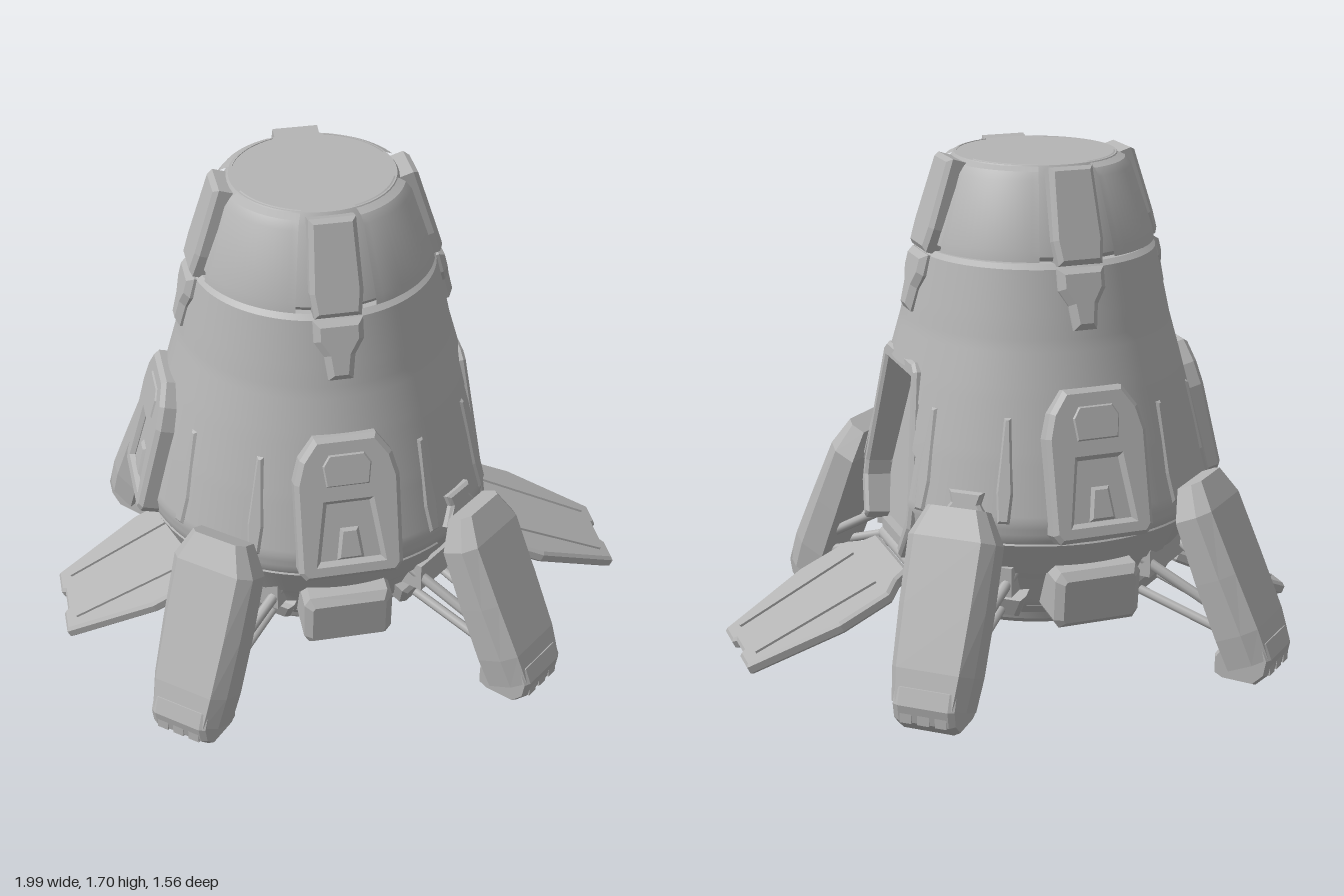
import * as THREE from 'three';
import { toCreasedNormals } from 'three/addons/utils/BufferGeometryUtils.js';

const hull = new THREE.MeshStandardMaterial({ color: 0xb4b4b4 });
hull.name = 'hullGrey';

function add(parent, name, geo) {
  const m = new THREE.Mesh(geo, hull);
  m.name = name;
  parent.add(m);
  return m;
}
const path = (pts) => pts.map(([x, y]) => new THREE.Vector2(x, y));
// Right-hand outline points, mirrored into a closed symmetric outline
const symmetric = (half) => path([...half, ...half.map(([x, y]) => [-x, y]).reverse()]);
const turned = (pts, segments, start, sweep) => toCreasedNormals(new THREE.LatheGeometry(path(pts), segments, start, sweep), 0.4);

// Bevelled plate lying on the hull: its foot sits at height y, its face at radius r, leaning inward by tilt
function plate(parent, name, half, { y, r, tilt, depth = 0.1, bevel = 0.015, hole }) {
  const shape = new THREE.Shape(symmetric(half));
  if (hole) shape.holes.push(new THREE.Path(symmetric(hole)));
  const geo = new THREE.ExtrudeGeometry(shape, {
    depth, bevelEnabled: bevel > 0, bevelSize: bevel, bevelThickness: bevel, bevelOffset: -bevel, bevelSegments: 1,
  });
  geo.translate(0, 0, -depth - bevel);
  const m = add(parent, name, geo);
  m.position.set(0, y, r);
  m.rotation.x = -tilt;
}

// Closed solid through equal-sized loops of points
function loft(loops) {
  const pos = [], n = loops[0].length;
  const tri = (a, b, c) => pos.push(...a, ...b, ...c);
  for (let i = 0; i < loops.length - 1; i++) {
    for (let j = 0; j < n; j++) {
      const k = (j + 1) % n, A = loops[i], B = loops[i + 1];
      tri(A[j], A[k], B[k]);
      tri(A[j], B[k], B[j]);
    }
  }
  const first = loops[0], last = loops[loops.length - 1];
  for (let j = 1; j < n - 1; j++) {
    tri(first[0], first[j + 1], first[j]);
    tri(last[0], last[j], last[j + 1]);
  }
  const g = new THREE.BufferGeometry();
  g.setAttribute('position', new THREE.Float32BufferAttribute(pos, 3));
  g.computeVertexNormals();
  return g;
}

function strut(parent, a, b, radius) {
  const A = new THREE.Vector3(...a), B = new THREE.Vector3(...b);
  const m = add(parent, 'legStrut', new THREE.CylinderGeometry(radius, radius, A.distanceTo(B), 8));
  m.position.copy(A).lerp(B, 0.5);
  m.quaternion.setFromUnitVectors(new THREE.Vector3(0, 1, 0), B.sub(A).normalize());
}

// Conical hull, with the doorway pushed in on the +x side
function makeHull() {
  const outline = [[0.42, 0.22], [0.46, 0.27], [0.5, 0.36], [0.56, 0.48], [0.592, 0.54], [0.598, 0.6],
    [0.55, 0.8], [0.497, 1.0], [0.455, 1.15], [0.44, 1.22], [0.403, 1.385], [0.385, 1.4], [0, 1.4]];
  const pts = [];
  outline.forEach(([r, y], i) => {
    const [r2, y2] = outline[i + 1] || [r, y];
    const n = Math.max(1, Math.round(Math.abs(y2 - y) / 0.02));
    for (let k = 0; k < n; k++) pts.push(new THREE.Vector2(r + (r2 - r) * k / n, y + (y2 - y) * k / n));
  });
  const g = new THREE.LatheGeometry(pts, 128);
  const p = g.attributes.position;
  for (let i = 0; i < p.count; i++) {
    const x = p.getX(i), y = p.getY(i), z = Math.abs(p.getZ(i));
    const w = y < 0.56 ? 0.2 + (y - 0.4) * 0.42 : 0.265 - (y - 0.56) * 0.25;
    if (x > 0 && y > 0.35 && y < 1.01 && z < w) p.setX(i, Math.min(x, 0.475 - (y - 0.4) * 0.17));
  }
  return toCreasedNormals(g, 0.5);
}

function makeLeg() {
  const leg = new THREE.Group();
  leg.name = 'landingLeg';
  const d = [-0.911, 0.413], n = [0.413, 0.911]; // (y, r) along the leg and outward
  // distance down the leg, width, thickness, drop of the face
  const loops = [[-0.02, 0.2, 0.08, 0.015], [0.08, 0.3, 0.12, 0], [0.3, 0.295, 0.135, 0], [0.5, 0.28, 0.145, 0], [0.61, 0.255, 0.14, 0.01]]
    .map(([s, w, t, drop]) => [[-0.5, -1], [0.5, -1], [0.5, -0.35], [0.38, 0], [-0.38, 0], [-0.5, -0.35]].map(([a, b]) => {
      const h = b * t - drop;
      return [a * w, 0.665 + d[0] * s + n[0] * h, 0.705 + d[1] * s + n[1] * h];
    }));
  add(leg, 'legShell', loft(loops));

  // Foot with a sole turned inward
  const profile = [[0.76, 0.02], [0.79, 0.005], [0.9, 0.005], [0.94, 0.045], [0.95, 0.1], [0.93, 0.15], [0.82, 0.17], [0.76, 0.08]];
  const foot = new THREE.ExtrudeGeometry(new THREE.Shape(path(profile)),
    { depth: 0.17, bevelEnabled: true, bevelSize: 0.01, bevelThickness: 0.02, bevelOffset: -0.005, bevelSegments: 1 });
  foot.translate(0, 0, -0.085);
  foot.rotateY(-Math.PI / 2);
  add(leg, 'foot', foot);
  for (const x of [-0.06, 0, 0.06]) {
    add(leg, 'toe', new THREE.BoxGeometry(0.04, 0.06, 0.04)).position.set(x, 0.07, 0.93);
  }
  for (const s of [-1, 1]) {
    strut(leg, [s * 0.13, 0.4, 0.48], [s * 0.06, 0.2, 0.82], 0.018);
    strut(leg, [s * 0.08, 0.27, 0.42], [s * 0.06, 0.14, 0.83], 0.016);
  }
  add(leg, 'strutMount', new THREE.BoxGeometry(0.28, 0.1, 0.12)).position.set(0, 0.38, 0.475);
  return leg;
}

function makeRamp() {
  const ramp = new THREE.Group();
  ramp.name = 'ramp';
  const slope = new THREE.Group();
  const side = [[0, 0.17], [0.05, 0.19], [0.1, 0.25], [0.29, 0.255], [0.62, 0.16], [0.62, 0.06], [0.605, 0.05]];
  const outline = [...side.map(([x, z]) => [x, -z]), ...side.slice().reverse()];
  const geo = new THREE.ExtrudeGeometry(new THREE.Shape(path(outline)),
    { depth: 0.025, bevelEnabled: true, bevelSize: 0.01, bevelThickness: 0.01, bevelOffset: -0.01, bevelSegments: 1 });
  geo.rotateX(-Math.PI / 2);
  add(slope, 'rampPlate', geo);
  for (const s of [-1, 1]) {
    const rail = add(slope, 'rampRail', new THREE.BoxGeometry(0.46, 0.012, 0.025));
    rail.position.set(0.34, 0.037, s * 0.125);
    rail.rotation.y = s * 0.05;
  }
  slope.position.set(0.426, 0.315, 0);
  slope.rotation.z = -0.455;
  ramp.add(slope);
  const hinge = add(ramp, 'rampHinge', new THREE.CylinderGeometry(0.025, 0.025, 0.32, 10));
  hinge.rotation.x = Math.PI / 2;
  hinge.position.set(0.415, 0.35, 0);
  return ramp;
}

export function createModel() {
  const model = new THREE.Group();
  model.name = 'landerCapsule';
  const body = new THREE.Group();
  body.name = 'capsule';
  body.position.x = -0.08;
  model.add(body);
  add(body, 'hull', makeHull());

  // Underside ring and engine bell
  add(body, 'baseRing', turned([[0, 0.24], [0.24, 0.26], [0.27, 0.185], [0.3, 0.17], [0.385, 0.17],
    [0.405, 0.19], [0.42, 0.24], [0.45, 0.255], [0.44, 0.28], [0, 0.3]], 48));
  add(body, 'engineBell', turned([[0, 0.19], [0.09, 0.175], [0.12, 0.147], [0.15, 0.15], [0.19, 0.19], [0.2, 0.27]], 32));

  // Docking cap: core and raised quarter shells
  add(body, 'capCore', turned([[0, 1.405], [0.37, 1.405], [0.38, 1.42], [0.37, 1.46], [0.295, 1.66], [0.27, 1.695], [0, 1.695]], 48));
  for (let i = 0; i < 4; i++) {
    add(body, 'capShell', turned([[0.36, 1.408], [0.398, 1.408], [0.392, 1.44], [0.318, 1.655], [0.298, 1.68], [0.26, 1.697], [0.25, 1.66], [0.36, 1.408]],
      14, i * Math.PI / 2 + 0.33, Math.PI / 2 - 0.66));
  }

  // The four cardinal sides; side 1 carries the doorway
  for (let i = 0; i < 4; i++) {
    const side = new THREE.Group();
    side.name = 'side';
    side.rotation.y = i * Math.PI / 2;
    body.add(side);
    plate(side, 'capRib', [[0.075, 0], [0.085, 0.08], [0.075, 0.314]], { y: 1.403, r: 0.422, tilt: 0.31, depth: 0.08 });
    plate(side, 'hullRib', [[0.04, 0], [0.05, 0.08], [0.08, 0.13], [0.08, 0.2]], { y: 1.2, r: 0.472, tilt: 0.25, depth: 0.05, bevel: 0.02 });
    for (const s of [-1, 1]) {
      const pivot = new THREE.Group();
      pivot.rotation.y = s * 0.53;
      side.add(pivot);
      plate(pivot, 'hullFin', [[0.02, 0], [0.028, 0.1], [0.012, 0.34]], { y: 0.6, r: 0.606, tilt: 0.245, depth: 0.05, bevel: 0.008 });
    }
    if (i === 1) {
      // Arch around the doorway, open at the foot
      plate(side, 'doorFrame', [[0.135, 0.6], [0.23, 0.2], [0.23, 0.15], [0.175, 0.03], [0.2, 0], [0.265, 0.12], [0.265, 0.2], [0.17, 0.63], [0.14, 0.655]], {
        y: 0.4, r: 0.56, tilt: 0.12, depth: 0.12, bevel: 0.01,
      });
      add(side, 'doorSill', new THREE.BoxGeometry(0.32, 0.06, 0.1)).position.set(0, 0.38, 0.455);
      continue;
    }
    plate(side, 'hatchPanel', [[0.15, 0], [0.172, 0.03], [0.172, 0.34], [0.15, 0.42], [0.1, 0.49]], {
      y: 0.55, r: 0.645, tilt: 0.245, hole: [[0.1, 0.06], [0.07, 0.26]],
    });
    plate(side, 'hatchRecess', [[0.11, 0.05], [0.09, 0.27]], { y: 0.55, r: 0.627, tilt: 0.245, depth: 0.04, bevel: 0 });
    plate(side, 'hatchStep', [[0.045, 0.06], [0.03, 0.17]], { y: 0.55, r: 0.638, tilt: 0.245, depth: 0.04, bevel: 0.01 });
    plate(side, 'hatchCrest', [[0.075, 0.32], [0.085, 0.4], [0.06, 0.44]], { y: 0.55, r: 0.65, tilt: 0.245, depth: 0.03, bevel: 0.01 });
    add(side, 'beltSegment', turned([[0.5, 0.4], [0.532, 0.405], [0.588, 0.52], [0.575, 0.54]], 16, -0.58, 1.16));
    if (i !== 3) {
      plate(side, 'lowerBox', [[0.13, 0], [0.148, 0.03], [0.148, 0.17], [0.13, 0.2]], { y: 0.23, r: 0.59, tilt: -0.1, depth: 0.14, bevel: 0.025 });
    }
  }

  // Diagonal corners: leg, wedge bracket and skirt block
  for (const a of [0.715, Math.PI - 0.715, Math.PI + 0.715, -0.715]) {
    const leg = makeLeg();
    leg.rotation.y = a;
    leg.position.x = 0.022;
    body.add(leg);
    plate(leg, 'wedgeBracket', [[0.09, 0], [0.05, 0.06], [0.06, 0.1]], { y: 0.6, r: 0.607, tilt: 0.245, depth: 0.06, bevel: 0.01 });
    plate(leg, 'skirtBlock', [[0.13, 0], [0.17, 0.1]], { y: 0.22, r: 0.455, tilt: -0.4, depth: 0.08 });
  }

  // Boarding ramps on both flanks
  for (const turn of [0, Math.PI]) {
    const ramp = makeRamp();
    ramp.rotation.y = turn;
    model.add(ramp);
  }
  return model;
}
